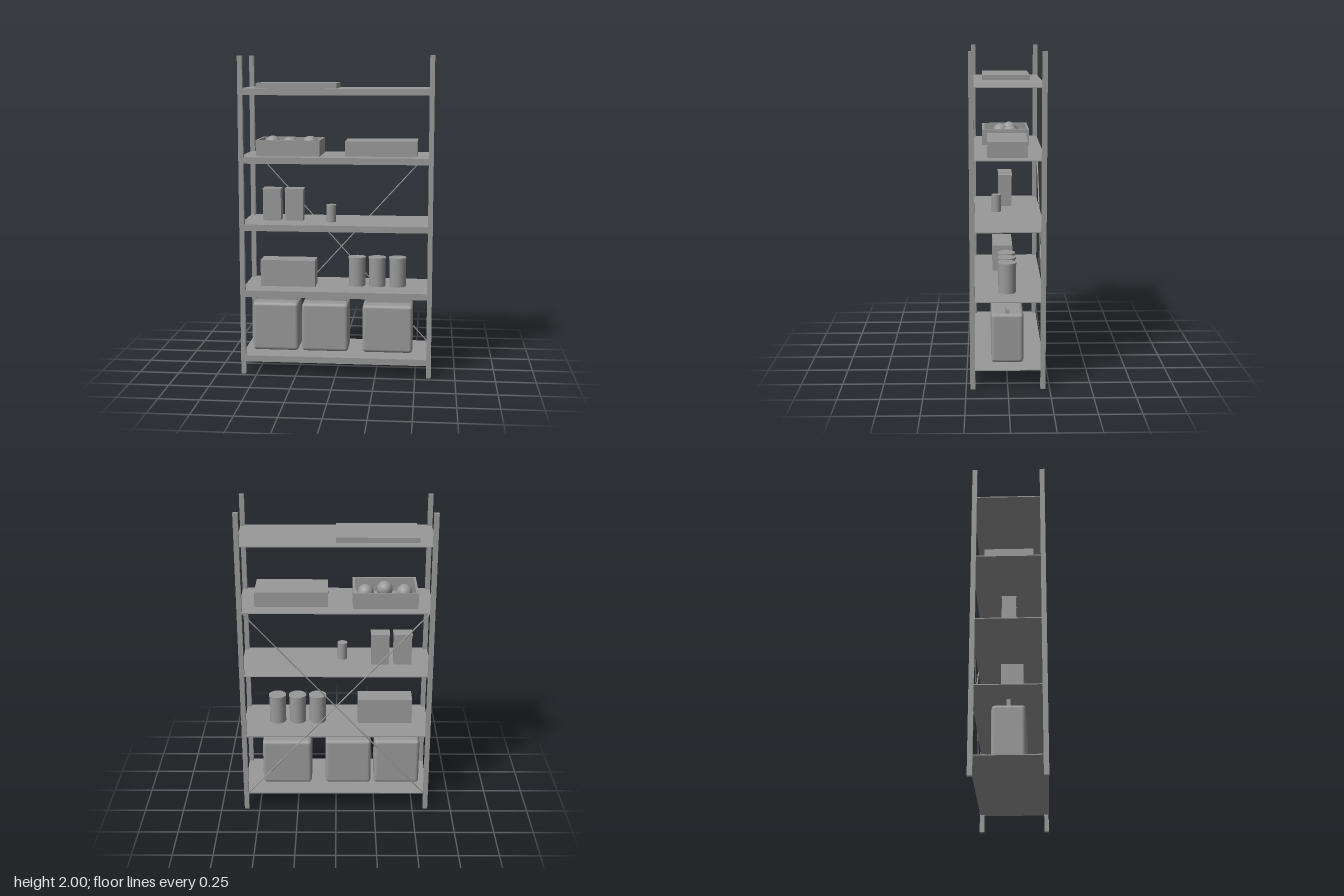
import * as THREE from 'three';
import { RoundedBoxGeometry } from 'three/addons/geometries/RoundedBoxGeometry.js';

export function createModel() {
  const root = new THREE.Group();
  root.name = 'storageRack';
  const grey = new THREE.MeshStandardMaterial({ color: 0x999999 });
  grey.name = 'plain grey';

  const add = (name, geometry, x, y, z, parent = root) => {
    const mesh = new THREE.Mesh(geometry, grey);
    mesh.name = name;
    mesh.position.set(x, y, z);
    parent.add(mesh);
    return mesh;
  };
  // box given by its width, height and depth, standing on y
  const box = (name, w, h, d, x, y, z, parent) =>
    add(name, new THREE.BoxGeometry(w, h, d), x, y + h / 2, z, parent);
  const group = (name, x, y, z) => {
    const g = new THREE.Group();
    g.name = name;
    g.position.set(x, y, z);
    root.add(g);
    return g;
  };

  // corner posts
  for (const sx of [-1, 1])
    for (const sz of [-1, 1]) box('post', 0.03, 2, 0.03, sx * 0.585, 0, sz * 0.21);

  // shelves: thin plates with a lip along the front
  const shelfY = [0.12, 0.54, 0.96, 1.38, 1.8];
  for (const y of shelfY) {
    box('shelfPlate', 1.196, 0.006, 0.444, 0, y - 0.006, 0);
    box('shelfLip', 1.14, 0.04, 0.006, 0, y - 0.04, 0.221);
  }

  // crossed braces at the back
  const braceLength = Math.hypot(1.14, 1.26);
  for (const s of [-1, 1]) {
    const brace = add('brace', new THREE.CylinderGeometry(0.004, 0.004, braceLength, 8), 0, 0.75, -0.222);
    brace.rotation.z = s * Math.atan2(1.14, 1.26);
  }

  // bottom shelf: rounded canisters with a grip on top
  for (const [x, w, h, top] of [
    [-0.398, 0.296, 0.315, 0.355],
    [-0.08, 0.298, 0.315, 0.355],
    [0.32, 0.32, 0.31, 0.335],
  ]) {
    const g = group('canister', x, shelfY[0], 0);
    add('canisterBody', new RoundedBoxGeometry(w, h, 0.196, 2, 0.022), 0, h / 2, 0, g);
    box('canisterGrip', w - 0.03, top - h + 0.02, 0.024, 0, h - 0.02, 0, g);
  }

  // lidded tin: a round body with a wider rim
  const tin = (x, y, z, r, h, rim) => {
    const g = group('tin', x, y, z);
    add('tinBody', new THREE.CylinderGeometry(r, r, h - rim, 24), 0, (h - rim) / 2, 0, g);
    add('tinLid', new THREE.CylinderGeometry(r * 1.06, r * 1.06, rim, 24), 0, h - rim / 2, 0, g);
  };

  // second shelf: box and three tins
  box('cardboardBox', 0.35, 0.17, 0.13, -0.317, shelfY[1], 0.02);
  for (const x of [0.12, 0.25, 0.38]) tin(x, shelfY[1], 0, 0.053, 0.187, 0.012);

  // third shelf: two cartons and a small tin
  for (const x of [-0.422, -0.28]) {
    const g = group('carton', x, shelfY[2], 0);
    box('cartonBody', 0.114, 0.195, 0.086, 0, 0, 0, g);
    box('cartonLid', 0.12, 0.01, 0.092, 0, 0.195, 0, g);
  }
  tin(-0.04, shelfY[2], 0.06, 0.03, 0.11, 0.008);

  // fourth shelf: open crate with balls, and a closed box
  const crate = group('crate', -0.303, shelfY[3], 0);
  box('crateFloor', 0.4, 0.015, 0.3, 0, 0, 0, crate);
  for (const s of [-1, 1]) {
    box('crateLongSide', 0.4, 0.085, 0.015, 0, 0.015, s * 0.1425, crate);
    box('crateShortSide', 0.015, 0.085, 0.27, s * 0.1925, 0.015, 0, crate);
  }
  [-0.12, 0, 0.12].forEach((x, i) =>
    add('ball', new THREE.SphereGeometry(0.05, 20, 14), x, 0.066, i === 1 ? 0.03 : -0.03, crate));
  box('closedBox', 0.45, 0.095, 0.24, 0.275, shelfY[3], 0);

  // top shelf: flat case
  box('flatCase', 0.5, 0.032, 0.3, -0.25, shelfY[4], 0);

  return root;
}
